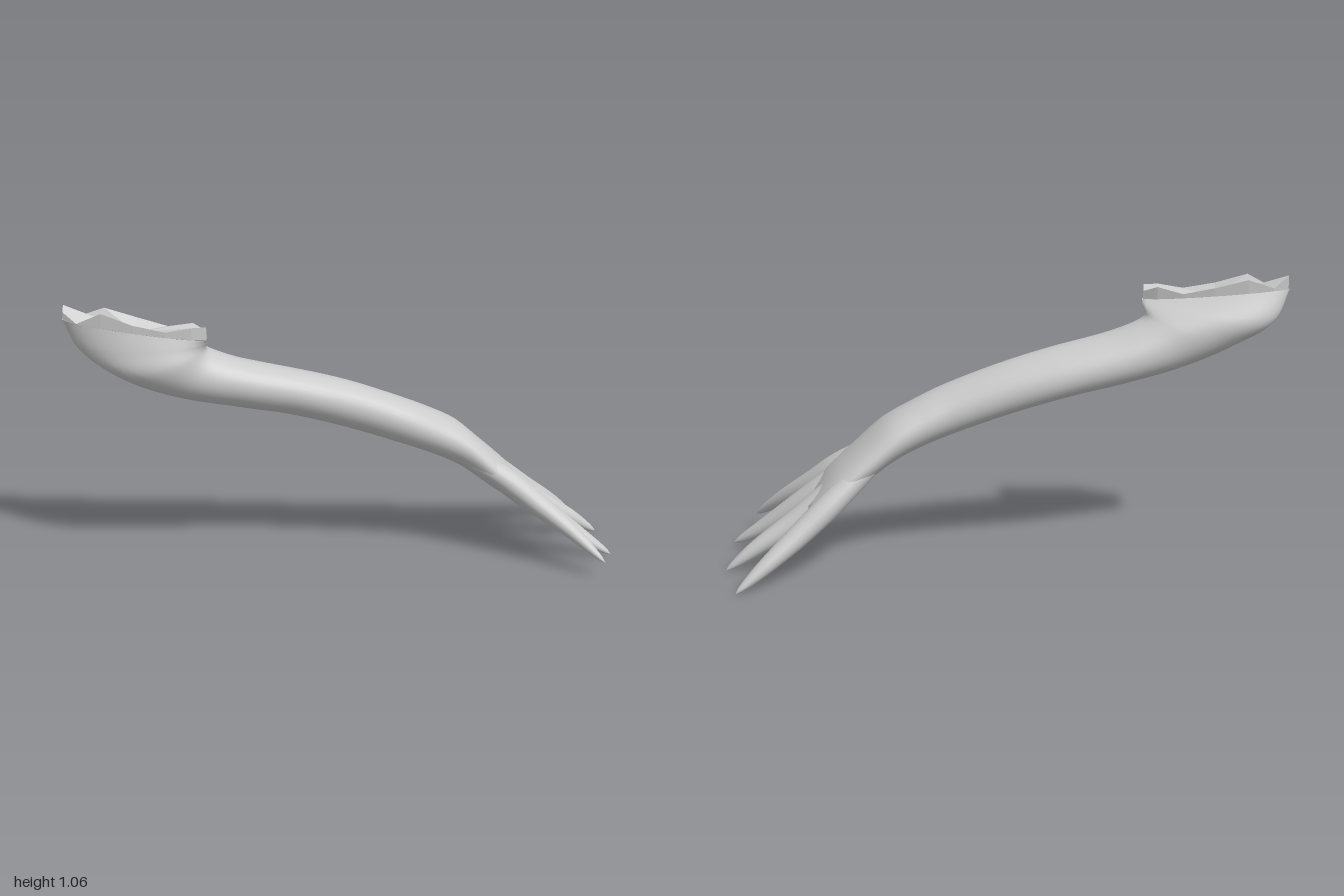
import * as THREE from 'three';

const v = (a) => new THREE.Vector3(...a);
const material = () => new THREE.MeshStandardMaterial({ color: 0xcccccc, side: THREE.DoubleSide });

// Point on an oval ring { c: centre, u: up half-axis, v: side half-axis }
const ringPoint = (r, a) => r.c.clone().addScaledVector(r.u, Math.sin(a)).addScaledVector(r.v, Math.cos(a));

// Skin a row of oval rings; the far end closes on a pole
function loft(rings, sides) {
  const pos = [], index = [];
  for (const r of rings) {
    for (let j = 0; j < sides; j++) pos.push(...ringPoint(r, (j / sides) * Math.PI * 2).toArray());
  }
  const last = rings.length - 1;
  for (let i = 0; i < last; i++) {
    for (let j = 0; j < sides; j++) {
      const a = i * sides + j, b = i * sides + ((j + 1) % sides);
      index.push(a, a + sides, b, b, a + sides, b + sides);
    }
  }
  pos.push(...rings[last].c.toArray());
  for (let j = 0; j < sides; j++) {
    index.push(last * sides + j, rings.length * sides, last * sides + ((j + 1) % sides));
  }
  const g = new THREE.BufferGeometry();
  g.setAttribute('position', new THREE.Float32BufferAttribute(pos, 3));
  g.setIndex(index);
  g.computeVertexNormals();
  return g;
}

// Smoothly interpolate a few key rings into many
function smoothRings(keys, steps) {
  const curves = [0, 1, 2].map((k) => new THREE.CatmullRomCurve3(keys.map((r) => v(r[k]))));
  return Array.from({ length: steps + 1 }, (_, i) => {
    const [c, u, w] = curves.map((q) => q.getPoint(i / steps));
    return { c, u, v: w };
  });
}

// Arm and palm: centre, up half-axis, side half-axis, from shoulder to palm edge
const armKeys = [
  [[-0.75, 0.985, -0.3], [0.23, -0.03, 0.13], [-0.02, 0, 0.045]],
  [[-0.72, 0.92, -0.31], [0.205, 0.02, 0.12], [-0.045, 0, 0.08]],
  [[-0.66, 0.86, -0.285], [0.15, 0.055, 0.06], [-0.03, 0, 0.115]],
  [[-0.56, 0.81, -0.265], [0.07, 0.085, 0.02], [-0.01, 0, 0.115]],
  [[-0.4, 0.76, -0.23], [0.015, 0.09, 0], [0, 0.01, 0.12]],
  [[-0.2, 0.71, -0.18], [0, 0.09, 0], [0, 0.01, 0.117]],
  [[0, 0.648, -0.128], [0, 0.092, 0], [0, 0.005, 0.108]],
  [[0.2, 0.57, -0.07], [0, 0.09, 0], [0, 0, 0.11]],
  [[0.3, 0.525, -0.05], [0, 0.087, 0], [0, -0.005, 0.115]],
  [[0.4, 0.47, -0.03], [0, 0.085, 0], [0, -0.01, 0.13]],
  [[0.5, 0.385, -0.005], [0, 0.077, 0], [0, -0.02, 0.15]],
  [[0.6, 0.3, 0.02], [0, 0.063, 0], [-0.01, -0.02, 0.165]],
  [[0.68, 0.225, 0.03], [0, 0.03, 0], [-0.035, -0.005, 0.13]],
];

// Finger centre lines from inside the palm to the tip
const fingerPaths = [
  [[0.45, 0.43, -0.09], [0.6, 0.305, -0.113], [0.75, 0.185, -0.138], [0.88, 0.093, -0.168], [1, 0.009, -0.195]],
  [[0.45, 0.425, -0.04], [0.6, 0.295, -0.02], [0.75, 0.175, 0.005], [0.88, 0.09, 0.022], [0.995, 0.009, 0.035]],
  [[0.45, 0.41, 0.02], [0.58, 0.3, 0.075], [0.7, 0.2, 0.135], [0.82, 0.1, 0.205], [0.925, 0.025, 0.268]],
  [[0.42, 0.43, 0.04], [0.53, 0.355, 0.11], [0.63, 0.265, 0.19], [0.72, 0.18, 0.29], [0.81, 0.078, 0.418]],
];

function fingerRings(path, steps = 28) {
  const curve = new THREE.CatmullRomCurve3(path.map(v));
  const normal = v([0.62, 0.77, 0.1]);
  return Array.from({ length: steps + 1 }, (_, i) => {
    const t = i / steps;
    const tangent = curve.getTangent(t);
    const side = tangent.clone().cross(normal).normalize();
    const up = side.clone().cross(tangent);
    // slow taper with a rounded tip
    const r = (0.058 - 0.04 * t * t) * Math.sqrt(Math.max(0, 1 - t ** 10)) * (0.75 + 0.25 * Math.min(1, t * 3));
    return { c: curve.getPoint(t), u: up.multiplyScalar(r * 0.85), v: side.multiplyScalar(r) };
  });
}

// Jagged broken collar: short plates standing on the shoulder rim, with a sunken fan inside
function brokenCollar(rim) {
  const heights = [0.03, 0.02, 0.045, 0.05, 0.03, 0.045, 0.015, 0.03, 0.05, 0.01, 0.05, 0.03, 0.0, 0.055];
  const n = heights.length, pos = [];
  const centre = rim.c.clone().add(v([0, -0.01, 0]));
  const lift = (p, h) => p.clone().add(v([0, h, 0]));
  for (let j = 0; j < n; j++) {
    const a = ringPoint(rim, (j / n) * Math.PI * 2);
    const b = ringPoint(rim, ((j + 1) / n) * Math.PI * 2);
    const ta = lift(a, heights[j]), tb = lift(b, heights[(j + 1) % n]);
    for (const p of [a, tb, b, a, ta, tb, ta, centre, tb]) pos.push(...p.toArray());
  }
  const g = new THREE.BufferGeometry();
  g.setAttribute('position', new THREE.Float32BufferAttribute(pos, 3));
  g.computeVertexNormals();
  return g;
}

export function createModel() {
  const model = new THREE.Group();
  model.name = 'arm';
  const add = (name, geometry, mat = material()) => {
    const mesh = new THREE.Mesh(geometry, mat);
    mesh.name = name;
    model.add(mesh);
  };

  const rings = smoothRings(armKeys, 72);
  add('armAndPalm', loft(rings, 32));
  fingerPaths.forEach((path, i) => add(`finger${i + 1}`, loft(fingerRings(path), 20)));

  const flat = material();
  flat.flatShading = true;
  add('shoulderCollar', brokenCollar(rings[0]), flat);
  return model;
}
